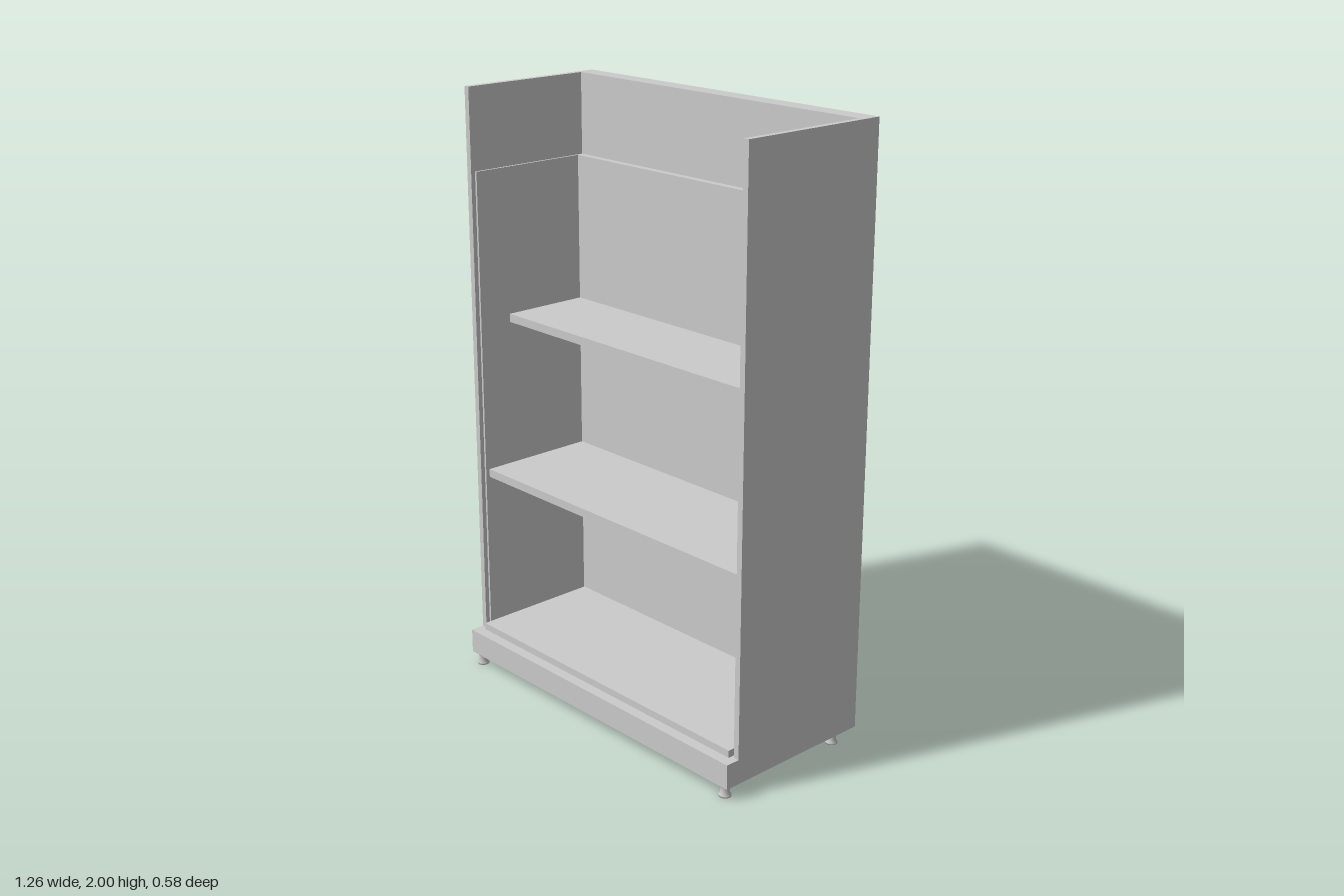
import * as THREE from 'three';

const material = new THREE.MeshStandardMaterial({ color: 0xcccccc, side: THREE.DoubleSide });

export function createModel() {
  const model = new THREE.Group();
  model.name = 'displayShelfUnit';

  const add = (name, geometry, parent = model) => {
    const mesh = new THREE.Mesh(geometry, material);
    mesh.name = name;
    parent.add(mesh);
    return mesh;
  };

  // Box given by its lower and upper bounds
  const box = (name, x0, x1, y0, y1, z0, z1, parent) => {
    const mesh = add(name, new THREE.BoxGeometry(x1 - x0, y1 - y0, z1 - z0), parent);
    mesh.position.set((x0 + x1) / 2, (y0 + y1) / 2, (z0 + z1) / 2);
    return mesh;
  };

  // Extrudes a [z, y] outline along x, from x0 to x0 + width
  const extrudeAlongX = (name, outline, x0, width, parent) => {
    const shape = new THREE.Shape(outline.map(([z, y]) => new THREE.Vector2(-z, y)));
    const geometry = new THREE.ExtrudeGeometry(shape, { depth: width, bevelEnabled: false });
    geometry.rotateY(Math.PI / 2);
    geometry.translate(x0, 0, 0);
    return add(name, geometry, parent);
  };

  // Carcass: plinth, deep back wall, thin side walls
  box('base', -0.63, 0.63, 0.04, 0.123, -0.29, 0.288);
  box('backPanel', -0.63, 0.63, 0.123, 2, -0.29, -0.225);
  box('bottomDeck', -0.6, 0.6, 0.123, 0.147, -0.2, 0.252);

  // Inner lining, ending below the open top
  box('backLiner', -0.608, 0.608, 0.123, 1.728, -0.225, -0.2);
  for (const [side, s] of [['left', 1], ['right', -1]]) {
    const slab = (name, inner, outer, ...rest) =>
      box(side + name, Math.min(s * inner, s * outer), Math.max(s * inner, s * outer), ...rest);
    slab('SidePanel', 0.61, 0.63, 0.123, 2, -0.225, 0.24);
    slab('SideLiner', 0.602, 0.61, 0.123, 1.728, -0.2, 0.225);
  }

  // Folded sheet shelves with a front lip and tapered end brackets
  const shelves = [
    { name: 'upperShelf', y: 1.234, front: 0.106 },
    { name: 'lowerShelf', y: 0.708, front: 0.211 },
  ];
  const t = 0.004;
  for (const { name, y, front } of shelves) {
    const shelf = new THREE.Group();
    shelf.name = name;
    model.add(shelf);
    extrudeAlongX('shelfSheet', [
      [-0.2, y], [front, y], [front, y - 0.028], [front - 0.013, y - 0.028],
      [front - 0.013, y - 0.028 + t], [front - t, y - 0.028 + t],
      [front - t, y - t], [-0.2, y - t],
    ], -0.602, 1.204, shelf);
    for (const x of [-0.602, 0.598]) {
      extrudeAlongX('shelfBracket', [
        [-0.2, y - t], [front - 0.014, y - t], [front - 0.014, y - 0.028], [-0.2, y - 0.078],
      ], x, 0.004, shelf);
    }
  }

  // Adjustable feet
  const footProfile = [[0, 0], [0.02, 0], [0.02, 0.006], [0.016, 0.01], [0.014, 0.03], [0.018, 0.034], [0.018, 0.04]]
    .map(([r, y]) => new THREE.Vector2(r, y));
  const footGeometry = new THREE.LatheGeometry(footProfile, 20);
  for (const x of [-0.6, 0.6]) {
    for (const z of [-0.212, 0.265]) {
      add('foot', footGeometry).position.set(x, 0, z);
    }
  }

  return model;
}
